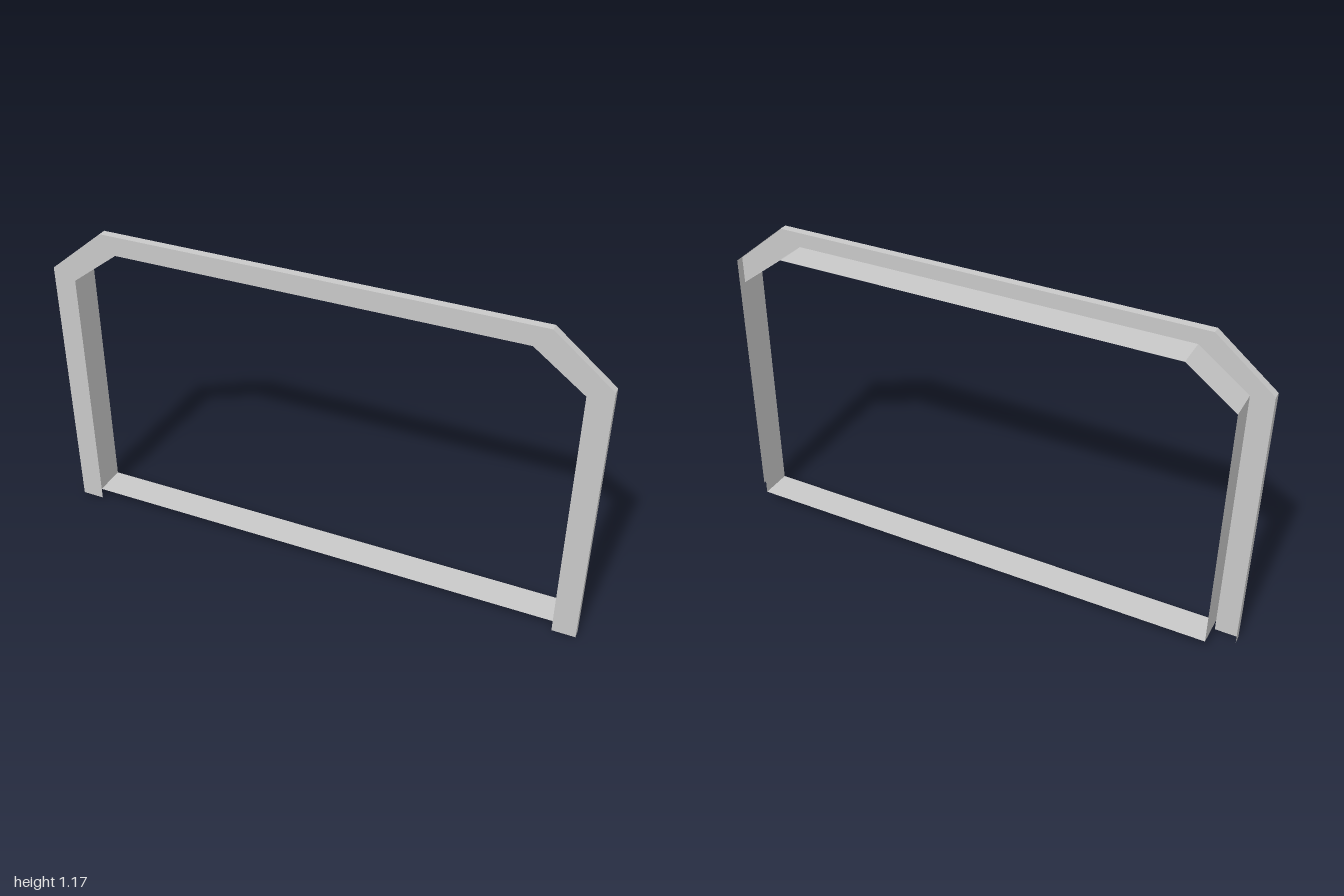
import * as THREE from 'three';

const FRONT = 0.06, LIP_BACK = 0.03, SLEEVE_BACK = -0.06;

// Half outlines on the +x side, from the foot up to the head
const outer = [[1, 0], [1, 1.005], [0.79, 1.175]];
const inner = [[0.915, 0.043], [0.915, 0.97], [0.735, 1.104]];

// Completes a half outline with its mirror image
function mirrored(half) {
  return [...half, ...half.map(([x, y]) => [-x, y]).reverse()];
}

// Thin folded strip that follows an outline and spans z0 (back) to z1 (front)
function foldedStrip(points, z0, z1) {
  const pos = [];
  for (let i = 0; i < points.length - 1; i++) {
    const [ax, ay] = points[i], [bx, by] = points[i + 1];
    pos.push(ax, ay, z0, bx, by, z0, bx, by, z1);
    pos.push(ax, ay, z0, bx, by, z1, ax, ay, z1);
  }
  const geo = new THREE.BufferGeometry();
  geo.setAttribute('position', new THREE.Float32BufferAttribute(pos, 3));
  geo.computeVertexNormals();
  return geo;
}

export function createModel() {
  const group = new THREE.Group();
  group.name = 'openingTrim';
  const metal = new THREE.MeshStandardMaterial({ color: 0xc8c8c8, side: THREE.DoubleSide });
  metal.name = 'light grey metal';

  const add = (name, geometry) => {
    const mesh = new THREE.Mesh(geometry, metal);
    mesh.name = name;
    group.add(mesh);
  };

  // Flat front plate: two legs, two chamfered corners and the head
  const innerToFloor = [[0.915, 0], ...inner.slice(1)];
  const outline = [...mirrored(outer), ...mirrored(innerToFloor).reverse()];
  const plate = new THREE.ShapeGeometry(
    new THREE.Shape(outline.map(([x, y]) => new THREE.Vector2(x, y))));
  plate.translate(0, 0, FRONT);
  add('frontPlate', plate);

  // Short lip folded back round the outside edge
  add('outerLip', foldedStrip(mirrored(outer), LIP_BACK, FRONT));

  // Deep sleeve lining the opening
  add('innerSleeve', foldedStrip(mirrored(inner), SLEEVE_BACK, FRONT));

  // Sill sheet closing the sleeve at the bottom
  const [sx, sy] = inner[0];
  add('sill', foldedStrip([[-sx, sy], [sx, sy]], SLEEVE_BACK, FRONT));

  return group;
}
